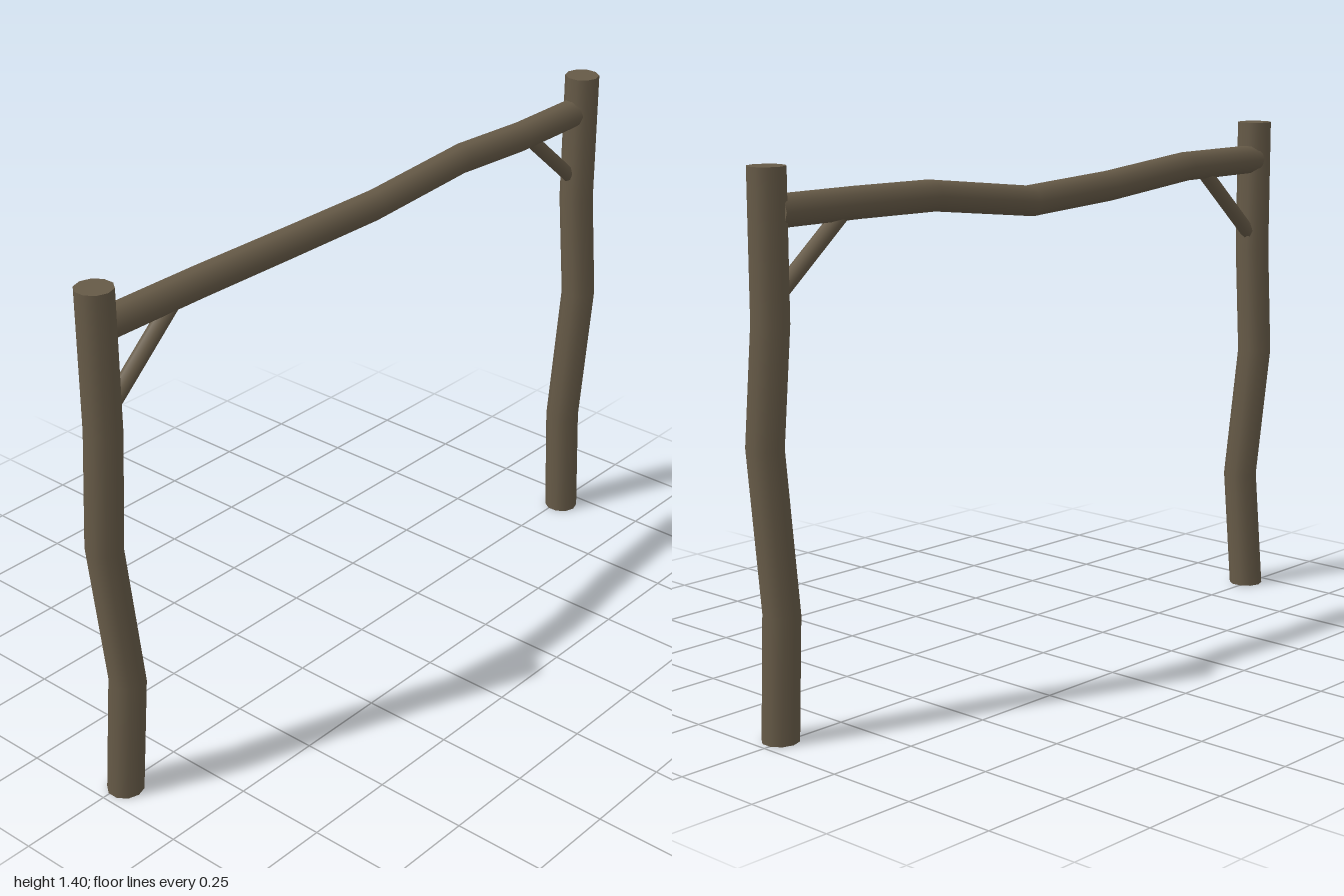
import * as THREE from 'three';

const wood = new THREE.MeshStandardMaterial({ color: 0x665a47 });
wood.name = 'weathered wood';

// Round log whose rings follow a list of points; rings stay square to the y or x axis.
function log(name, points, radius, axis) {
  const rows = points.length - 1;
  const geo = new THREE.CylinderGeometry(radius, radius, rows, 10, rows);
  const pos = geo.attributes.position;
  for (let i = 0; i < pos.count; i++) {
    const a = pos.getX(i), b = pos.getZ(i);
    const p = points[Math.round(pos.getY(i) + rows / 2)];
    if (axis === 'y') pos.setXYZ(i, p[0] + a, p[1], p[2] + b);
    else pos.setXYZ(i, p[0], p[1] - a, p[2] + b);
  }
  // turn the cylinder normals along with the log
  if (axis === 'x') {
    const n = geo.attributes.normal;
    for (let i = 0; i < n.count; i++) n.setXYZ(i, n.getY(i), -n.getX(i), n.getZ(i));
  }
  const mesh = new THREE.Mesh(geo, wood);
  mesh.name = name;
  return mesh;
}

// Straight thin pole between two points.
function pole(name, from, to, radius) {
  const a = new THREE.Vector3(...from), b = new THREE.Vector3(...to);
  const dir = b.clone().sub(a);
  const mesh = new THREE.Mesh(new THREE.CylinderGeometry(radius, radius, dir.length(), 8), wood);
  mesh.position.copy(a).add(b).multiplyScalar(0.5);
  mesh.quaternion.setFromUnitVectors(new THREE.Vector3(0, 1, 0), dir.normalize());
  mesh.name = name;
  return mesh;
}

export function createModel() {
  const group = new THREE.Group();
  group.name = 'log gateway';

  // crooked uprights
  group.add(log('rightPost', [
    [-0.933, 0, 0.012], [-0.926, 0.34, 0.036], [-0.951, 0.72, 0.01],
    [-0.933, 1.03, 0.012], [-0.933, 1.4, 0.012],
  ], 0.048, 'y'));
  group.add(log('leftPost', [
    [0.937, 0, 0.012], [0.929, 0.32, 0.006], [0.952, 0.73, 0.025],
    [0.937, 1.03, 0.012], [0.937, 1.4, 0.012],
  ], 0.048, 'y'));

  // sagging crossbeam
  group.add(log('crossbeam', [
    [-0.92, 1.293, 0.004], [-0.6, 1.293, 0.004], [-0.23, 1.268, -0.028], [0.1, 1.255, -0.044],
    [0.43, 1.293, -0.018], [0.66, 1.293, 0.004], [0.92, 1.293, 0.004],
  ], 0.041, 'x'));

  // diagonal corner braces
  group.add(pole('rightBrace', [-0.92, 1.063, 0.005], [-0.68, 1.278, 0.005], 0.021));
  group.add(pole('leftBrace', [0.925, 1.09, 0.005], [0.7, 1.28, 0.005], 0.021));

  return group;
}
